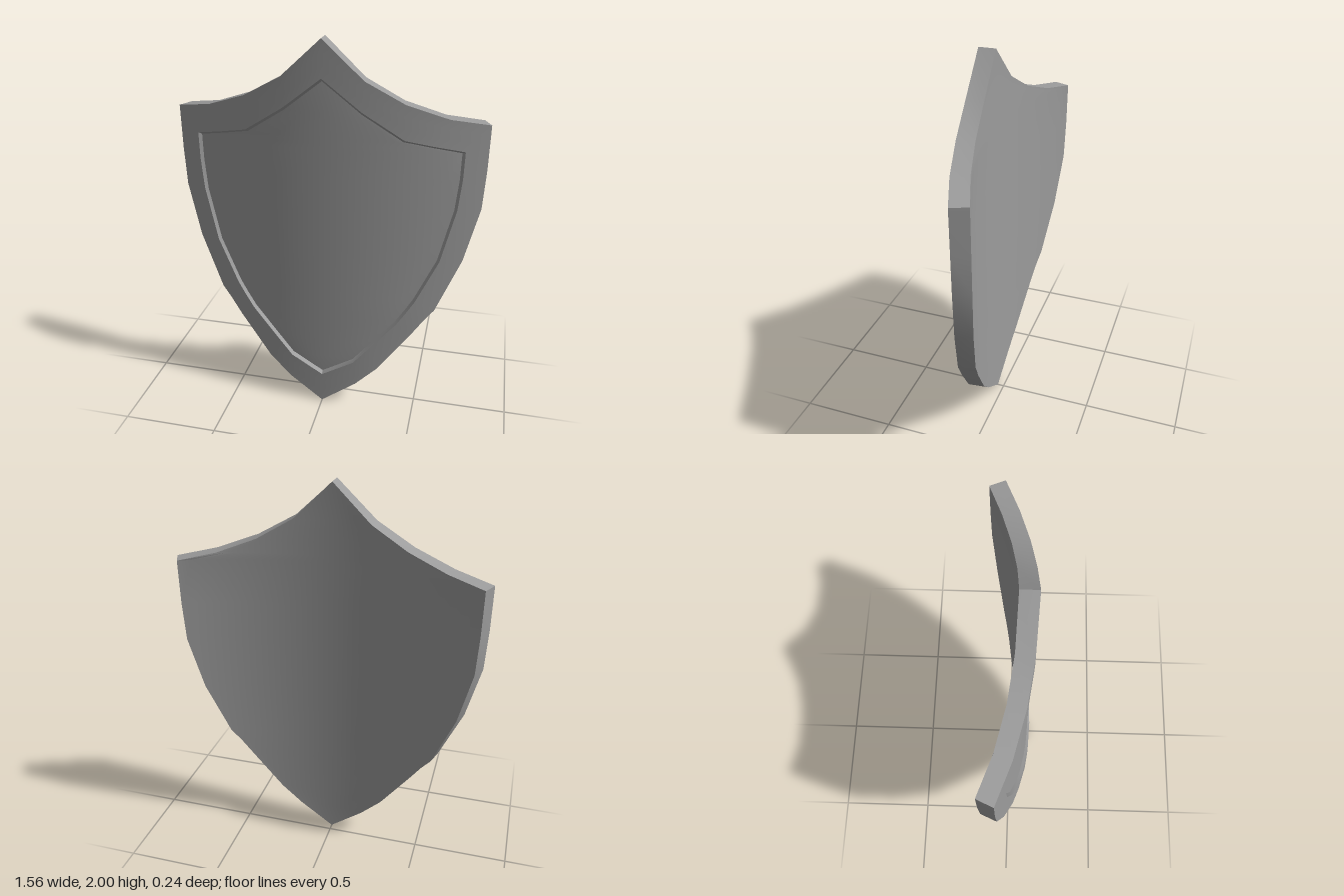
import * as THREE from 'three';
import { mergeVertices, toCreasedNormals } from 'three/addons/utils/BufferGeometryUtils.js';

const R = 1.94;        // radius of the bowed front face
const FRONT = 0.12;    // z of the front face at the middle
const THICK = 0.085;
const RECESS = 0.016;
const METAL = new THREE.MeshStandardMaterial({ color: 0x9c9c9c });

// Right halves of the outlines, top tip to bottom tip, as [x, y]
const OUTER = [[0, 2], [0.2, 1.815], [0.39, 1.71], [0.59, 1.64], [0.778, 1.605],
  [0.777, 1.38], [0.768, 1.18], [0.70, 0.90], [0.58, 0.615], [0.53, 0.555],
  [0.47, 0.47], [0.30, 0.245], [0.185, 0.135], [0, 0]];
const RIM = [[0, 1.82], [0.19, 1.67], [0.39, 1.54], [0.53, 1.51], [0.67, 1.48],
  [0.668, 1.34], [0.654, 1.18], [0.588, 0.90], [0.48, 0.67], [0.44, 0.605],
  [0.39, 0.53], [0.26, 0.38], [0.17, 0.273], [0, 0.175]];
const FLOOR = RIM.map(([x, y]) => [x * 0.985, 1 + (y - 1) * 0.981]);

// Wrap a flat point onto the cylinder, a given depth behind the front face
function bend([x, y], depth) {
  const a = Math.asin(x / R), r = R - depth;
  return [Math.sin(a) * r, y, Math.cos(a) * r - R + FRONT];
}

// Surface through rows of points, smooth except at the sharp corners
function skin(name, rows) {
  const n = rows[0].length, index = [];
  for (let i = 0; i < rows.length - 1; i++) {
    for (let j = 0; j < n - 1; j++) {
      const a = i * n + j, b = a + n;
      index.push(a, b, a + 1, b, b + 1, a + 1);
    }
  }
  const geo = new THREE.BufferGeometry();
  geo.setAttribute('position', new THREE.Float32BufferAttribute(rows.flat(2), 3));
  geo.setIndex(index);
  const mesh = new THREE.Mesh(toCreasedNormals(mergeVertices(geo), 0.6), METAL);
  mesh.name = name;
  return mesh;
}

// Mirror a half outline into a closed loop
const loop = (half) => [...half, ...half.slice(0, -1).reverse().map(([x, y]) => [-x, y])];

// Rows spanning an outline from side to side; dir -1 faces the back
function fill(half, depth, dir) {
  const K = 24;
  return half.map(([x, y]) => Array.from({ length: K + 1 }, (_, j) =>
    bend([dir * x * (2 * j / K - 1), y], depth)));
}

// Rows bridging two loops of equal length
function bridge(from, to, d0, d1, steps) {
  const A = loop(from), B = loop(to);
  return Array.from({ length: steps + 1 }, (_, s) => {
    const t = s / steps;
    return A.map((p, i) => bend(
      [p[0] + (B[i][0] - p[0]) * t, p[1] + (B[i][1] - p[1]) * t], d0 + (d1 - d0) * t));
  });
}

export function createModel() {
  const shield = new THREE.Group();
  shield.name = 'shield';
  shield.add(
    skin('frontBorder', bridge(OUTER, RIM, 0, 0, 3)),
    skin('recessBevel', bridge(RIM, FLOOR, 0, RECESS, 1)),
    skin('frontPanel', fill(FLOOR, RECESS, 1)),
    skin('outerEdge', bridge(OUTER, OUTER, THICK, 0, 1)),
    skin('backFace', fill(OUTER, THICK, -1)),
  );
  return shield;
}
